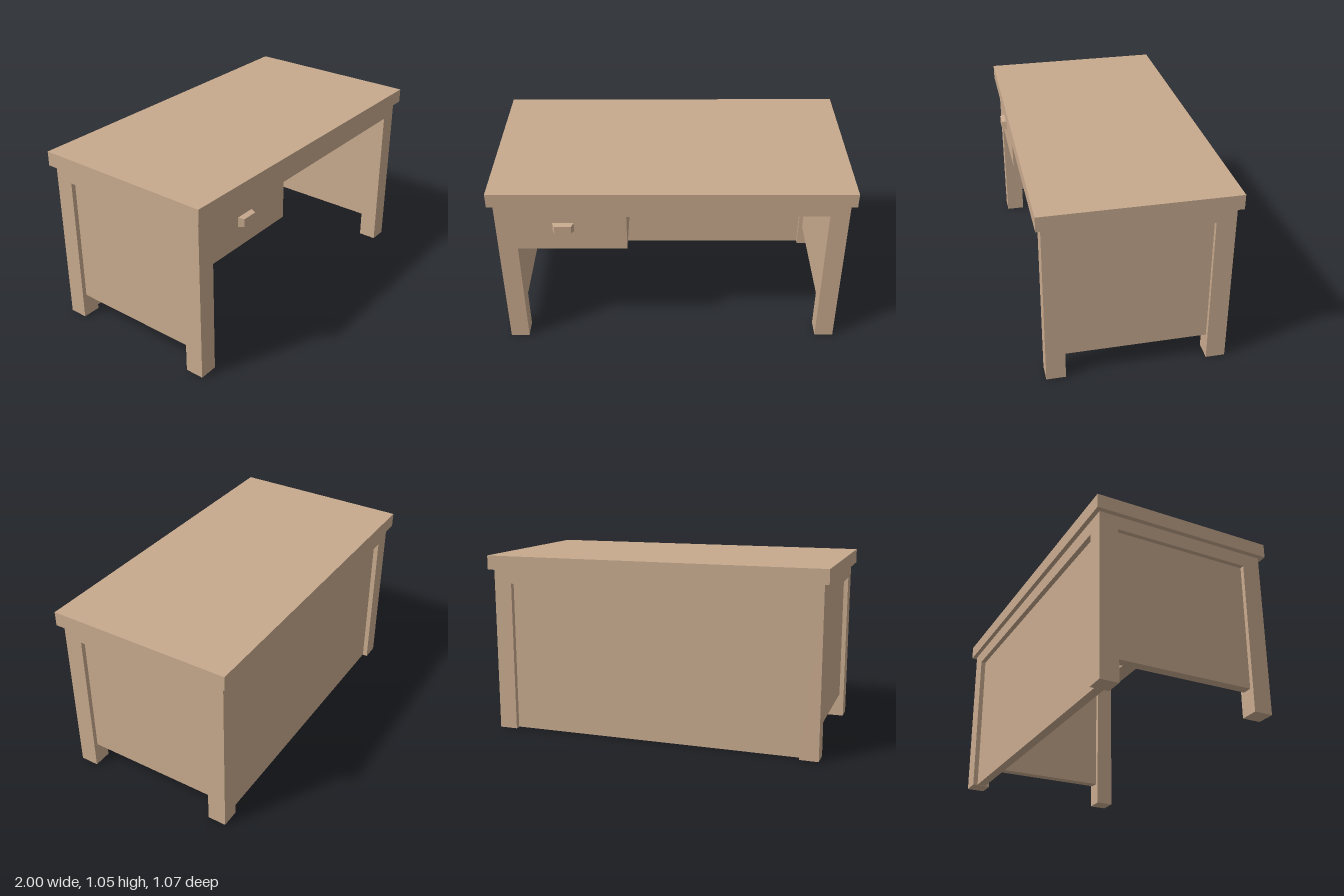
import * as THREE from 'three';

export function createModel() {
  const desk = new THREE.Group();
  desk.name = 'desk';
  const wood = new THREE.MeshStandardMaterial({ color: 0xc8aa8e });
  wood.name = 'light wood';

  // Box given by its limits along x, y and z
  function box(name, [x0, x1], [y0, y1], [z0, z1]) {
    const mesh = new THREE.Mesh(new THREE.BoxGeometry(x1 - x0, y1 - y0, z1 - z0), wood);
    mesh.position.set((x0 + x1) / 2, (y0 + y1) / 2, (z0 + z1) / 2);
    mesh.name = name;
    desk.add(mesh);
    return mesh;
  }

  const X = 0.972, LX = 0.864;             // outer and inner faces of the legs
  const F = 0.503, B = -0.508;             // front and back of the frame
  const FI = 0.395, BI = -0.4;             // inner faces of front and back legs
  const RAIL = 0.886, TOP = 0.967, H = 1.05;
  const INSET = 0.026;                     // panel recess

  box('tabletop', [-1, 1], [TOP, H], [-0.534, 0.53]);

  // Legs, side rails and recessed side panels
  for (const s of [-1, 1]) {
    const side = s < 0 ? 'right' : 'left';
    const span = (a, b) => [Math.min(s * a, s * b), Math.max(s * a, s * b)];
    box(side + 'FrontLeg', span(LX, X), [0, TOP], [FI, F]);
    box(side + 'BackLeg', span(LX, X), [0, TOP], [B, BI]);
    box(side + 'Rail', span(LX, X), [RAIL, TOP], [BI, FI]);
    box(side + 'Panel', span(LX + INSET, X - INSET), [0.14, RAIL], [BI, FI]);
  }

  // Front and back rails, recessed back panel
  box('frontRail', [-LX, LX], [RAIL, TOP], [FI, F]);
  box('backRail', [-LX, LX], [RAIL, TOP], [B, BI]);
  box('backPanel', [-LX, LX], [0.003, RAIL], [B + INSET + 0.003, BI - INSET]);

  // Drawer box, flush with the front rail
  box('drawer', [-LX, -0.25], [0.667, RAIL], [BI - INSET, F]);

  // Handle, tapering toward its front
  const handle = box('drawerHandle', [-0.658, -0.54], [0.79, 0.845], [F, 0.535]);
  const p = handle.geometry.attributes.position;
  for (let i = 0; i < p.count; i++) {
    if (p.getZ(i) > 0) p.setXY(i, p.getX(i) * 0.78, p.getY(i) * 0.8);
  }
  handle.geometry.computeVertexNormals();

  return desk;
}
